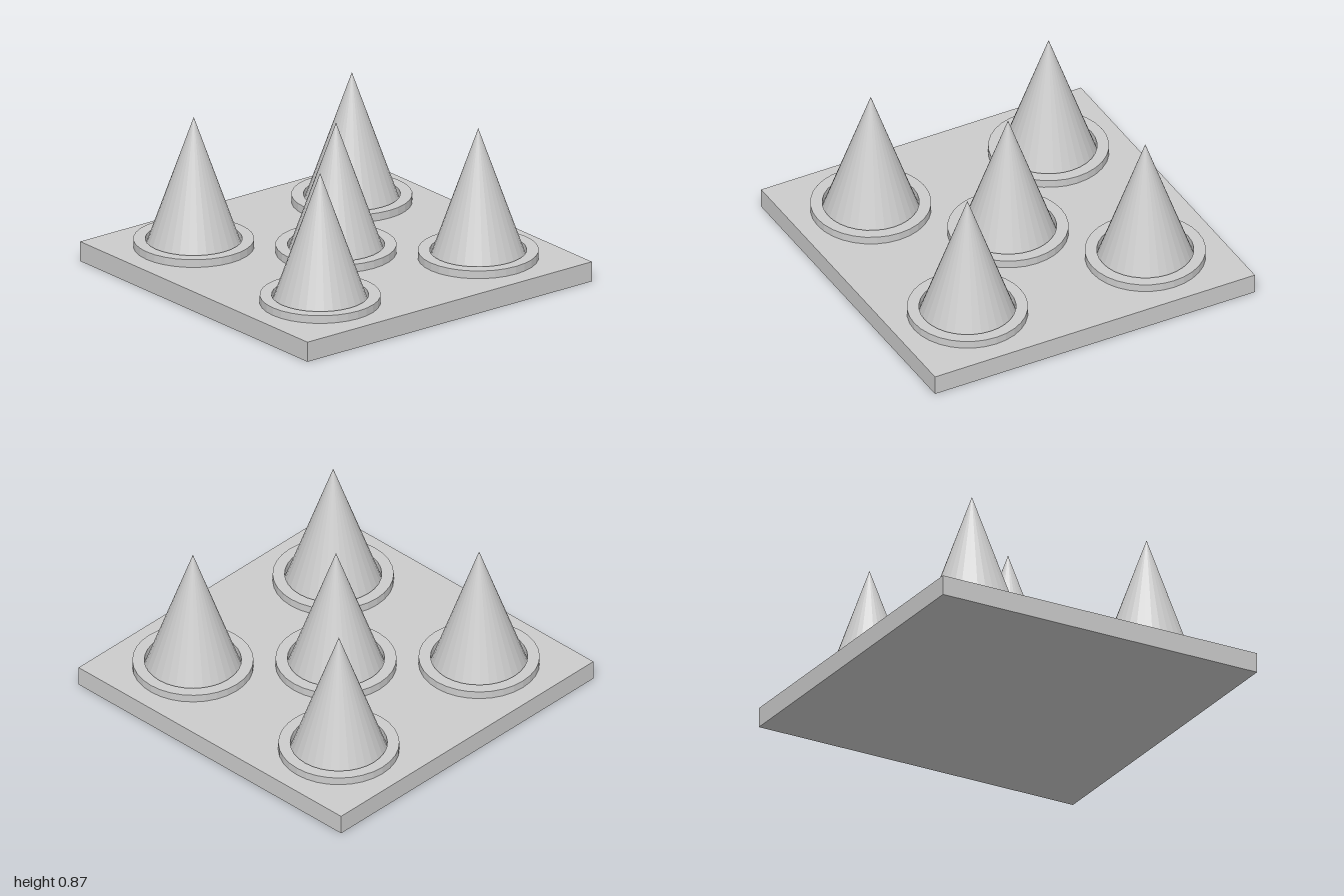
import * as THREE from 'three';

const SIDES = 32;
const PLATE_TOP = 0.115, RING_TOP = 0.16, APEX = 0.873;
const CONE_R = 0.267, RING_R = 0.333, SPACING = 0.556;

export function createModel() {
  const model = new THREE.Group();
  const grey = new THREE.MeshStandardMaterial({ color: 0xcccccc, flatShading: true });

  const add = (parent, name, geometry, x, y, z) => {
    const mesh = new THREE.Mesh(geometry, grey);
    mesh.name = name;
    mesh.position.set(x, y, z);
    parent.add(mesh);
  };

  // Square base plate
  add(model, 'basePlate', new THREE.BoxGeometry(2, PLATE_TOP, 2), 0, PLATE_TOP / 2, 0);

  // Flat collar with a hole that fits the foot of the cone
  const ringGeometry = new THREE.LatheGeometry([
    new THREE.Vector2(RING_R, PLATE_TOP),
    new THREE.Vector2(RING_R, RING_TOP),
    new THREE.Vector2(CONE_R, RING_TOP),
    new THREE.Vector2(CONE_R, PLATE_TOP),
  ], SIDES);

  // Pointed cone standing on the plate inside its collar
  const height = APEX - PLATE_TOP;
  const coneGeometry = new THREE.ConeGeometry(CONE_R, height, SIDES);

  // One spike in the middle and one towards each corner
  for (const [i, k] of [[0, 0], [-1, -1], [1, -1], [-1, 1], [1, 1]]) {
    const spike = new THREE.Group();
    spike.name = 'spike';
    spike.position.set(i * SPACING, 0, k * SPACING);
    add(spike, 'collar', ringGeometry, 0, 0, 0);
    add(spike, 'cone', coneGeometry, 0, PLATE_TOP + height / 2, 0);
    model.add(spike);
  }
  return model;
}
